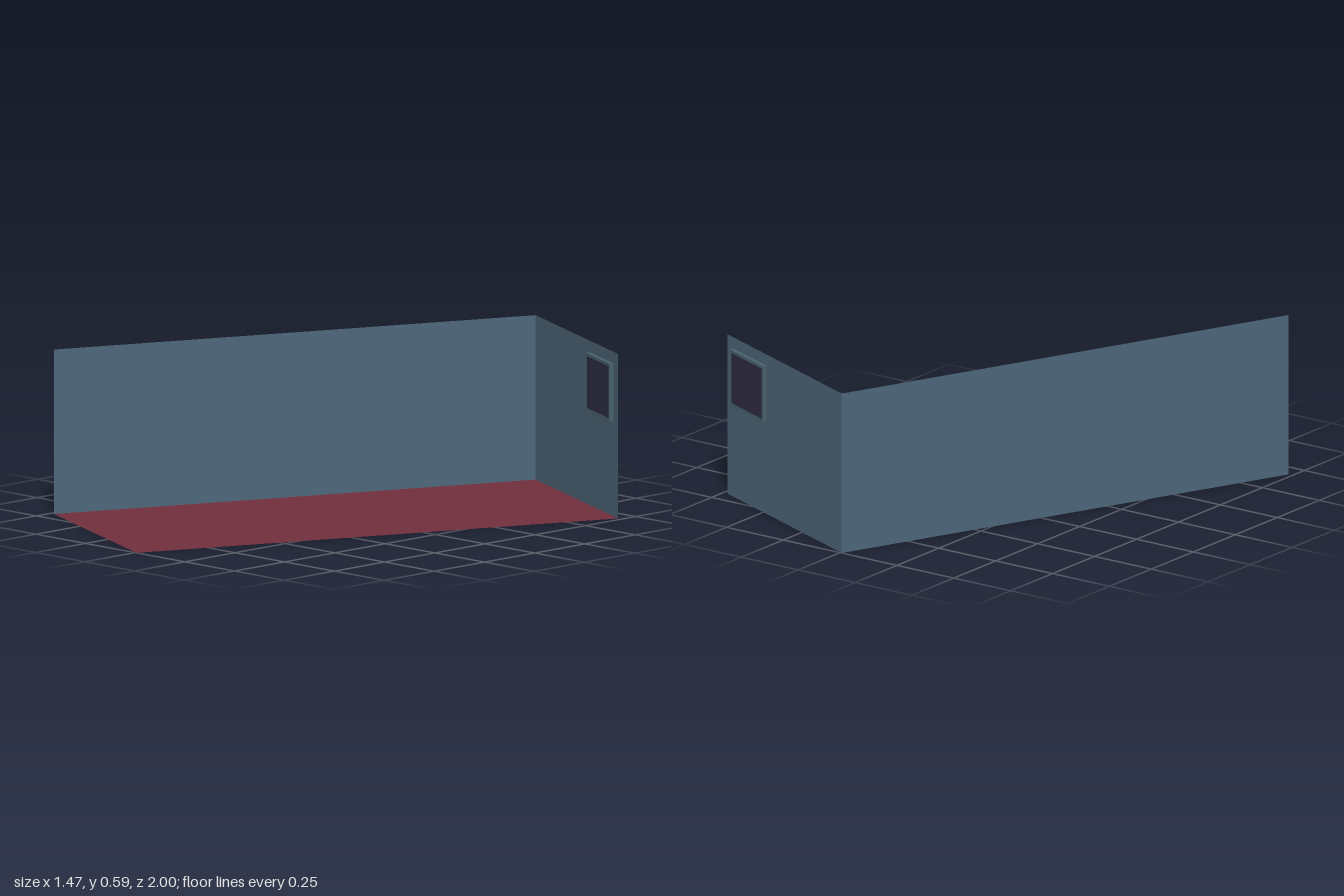
import * as THREE from 'three';

const mat = (name, color) => {
  const m = new THREE.MeshStandardMaterial({ color, side: THREE.DoubleSide });
  m.name = name;
  return m;
};

export function createModel() {
  const wallBlue = mat('wall blue', 0x4e677a);
  const wineRed = mat('wine red', 0x722f3c);
  const frameTeal = mat('frame teal', 0x49626e);
  const glassDark = mat('dark glass', 0x2f2d42);

  const W = 0.806, L = 1.83, H = 0.592;
  const model = new THREE.Group();
  model.name = 'room';

  const add = (parent, name, geometry, material, x, y, z) => {
    const mesh = new THREE.Mesh(geometry, material);
    mesh.name = name;
    mesh.position.set(x, y, z);
    parent.add(mesh);
    return mesh;
  };

  // Whole room is turned about the vertical axis
  const room = new THREE.Group();
  room.name = 'turnedRoom';
  room.rotation.y = -0.408;
  model.add(room);

  // Floor and two thin walls meeting at the back corner
  add(room, 'floor', new THREE.PlaneGeometry(W, L).rotateX(-Math.PI / 2), wineRed, 0, 0, 0);
  add(room, 'backWall', new THREE.PlaneGeometry(W, H), wallBlue, 0, H / 2, -L / 2);
  add(room, 'longWall', new THREE.PlaneGeometry(L, H).rotateY(Math.PI / 2), wallBlue, -W / 2, H / 2, 0);

  // Window passing through the back wall
  const win = new THREE.Group();
  win.name = 'window';
  win.position.set(0.242, 0.446, -L / 2);
  room.add(win);
  const w = 0.232, h = 0.208, bar = 0.011, depth = 0.03;
  for (const s of [-1, 1]) {
    add(win, 'frameRail', new THREE.BoxGeometry(w, bar, depth), frameTeal, 0, s * (h - bar) / 2, 0);
    add(win, 'framePost', new THREE.BoxGeometry(bar, h - 2 * bar, depth), frameTeal, s * (w - bar) / 2, 0, 0);
  }
  add(win, 'glass', new THREE.BoxGeometry(w - 2 * bar, h - 2 * bar, depth - 0.001), glassDark, 0, 0, 0);

  return model;
}
